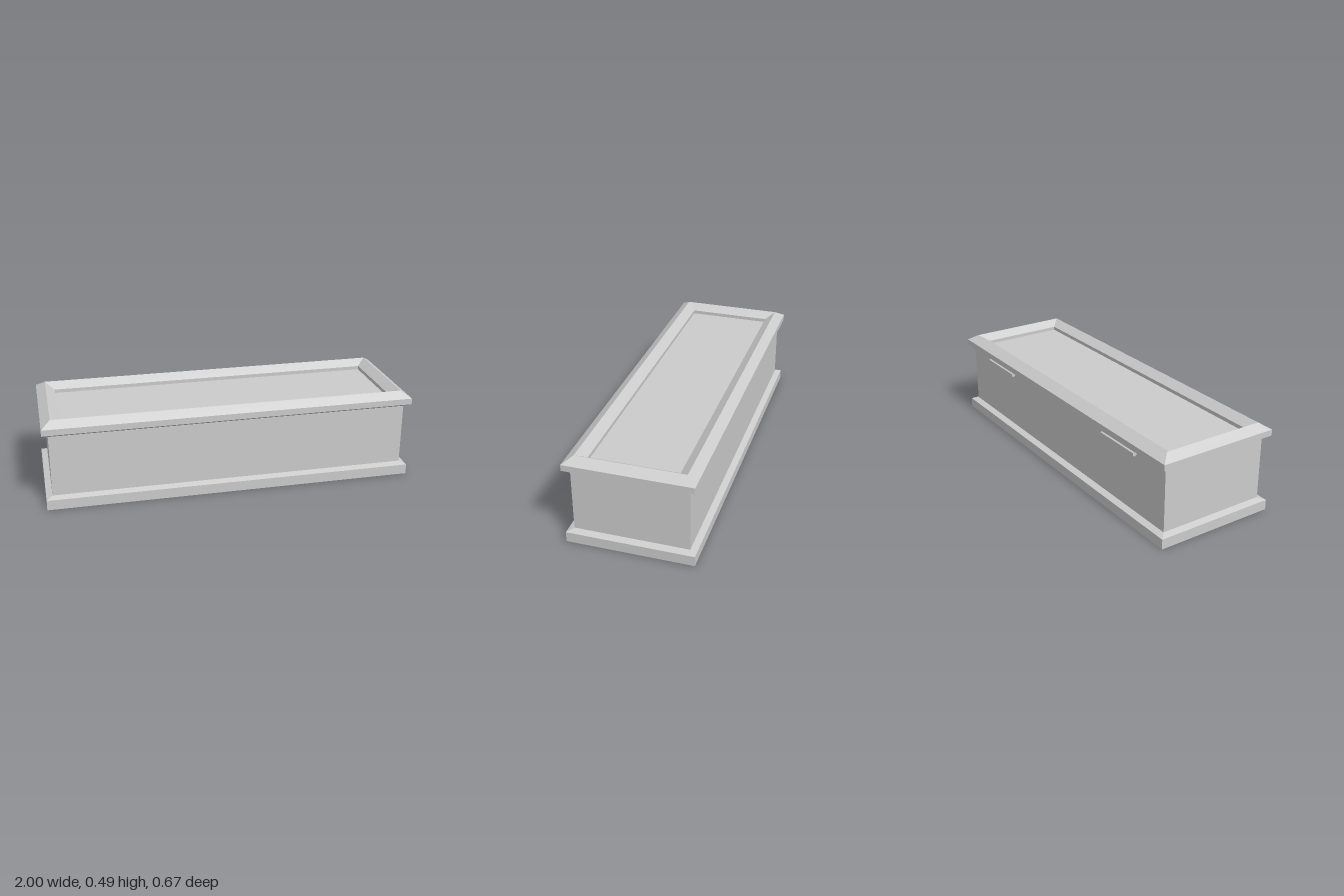
import * as THREE from 'three';

const material = new THREE.MeshStandardMaterial({ color: 0xcccccc, flatShading: true });

// Closed solid through rectangular rings, listed from the bottom as [overhang, y].
// The overhang is added to the half width and half depth of the body.
const HALF_X = 0.967, HALF_Z = 0.3;
function loftRings(rings) {
  const corners = rings.map(([o, y]) => {
    const x = HALF_X + o, z = HALF_Z + o;
    return [[x, y, z], [x, y, -z], [-x, y, -z], [-x, y, z]];
  });
  const positions = [];
  const quad = (a, b, c, d) => positions.push(...a, ...b, ...c, ...a, ...c, ...d);
  for (let i = 0; i < corners.length - 1; i++) {
    for (let k = 0; k < 4; k++) {
      const n = (k + 1) % 4;
      quad(corners[i][k], corners[i][n], corners[i + 1][n], corners[i + 1][k]);
    }
  }
  quad(...corners[0].slice().reverse());
  quad(...corners[corners.length - 1]);
  const geometry = new THREE.BufferGeometry();
  geometry.setAttribute('position', new THREE.Float32BufferAttribute(positions, 3));
  geometry.computeVertexNormals();
  return geometry;
}

export function createModel() {
  const group = new THREE.Group();
  const add = (name, geometry) => {
    const mesh = new THREE.Mesh(geometry, material);
    mesh.name = name;
    group.add(mesh);
    return mesh;
  };

  // Plinth with bevelled top, running up into the plain box walls
  add('chestBody', loftRings([[0.033, 0], [0.033, 0.055], [0, 0.067], [0, 0.401]]));

  // Lid: flared underside, upright edge, ridged rim and sunken panel
  add('lid', loftRings([
    [0, 0.402], [0.033, 0.421], [0.033, 0.454],
    [-0.017, 0.487], [-0.067, 0.454], [-0.067, 0.434],
  ]));

  // Pair of six-sided hinge barrels along the back
  for (const side of [1, -1]) {
    const barrel = new THREE.CylinderGeometry(0.0133, 0.0133, 0.28, 6, 1, false, Math.PI / 6);
    barrel.rotateZ(Math.PI / 2);
    add(side > 0 ? 'hingeLeft' : 'hingeRight', barrel).position.set(side * 0.6, 0.394, -0.311);
  }
  return group;
}
